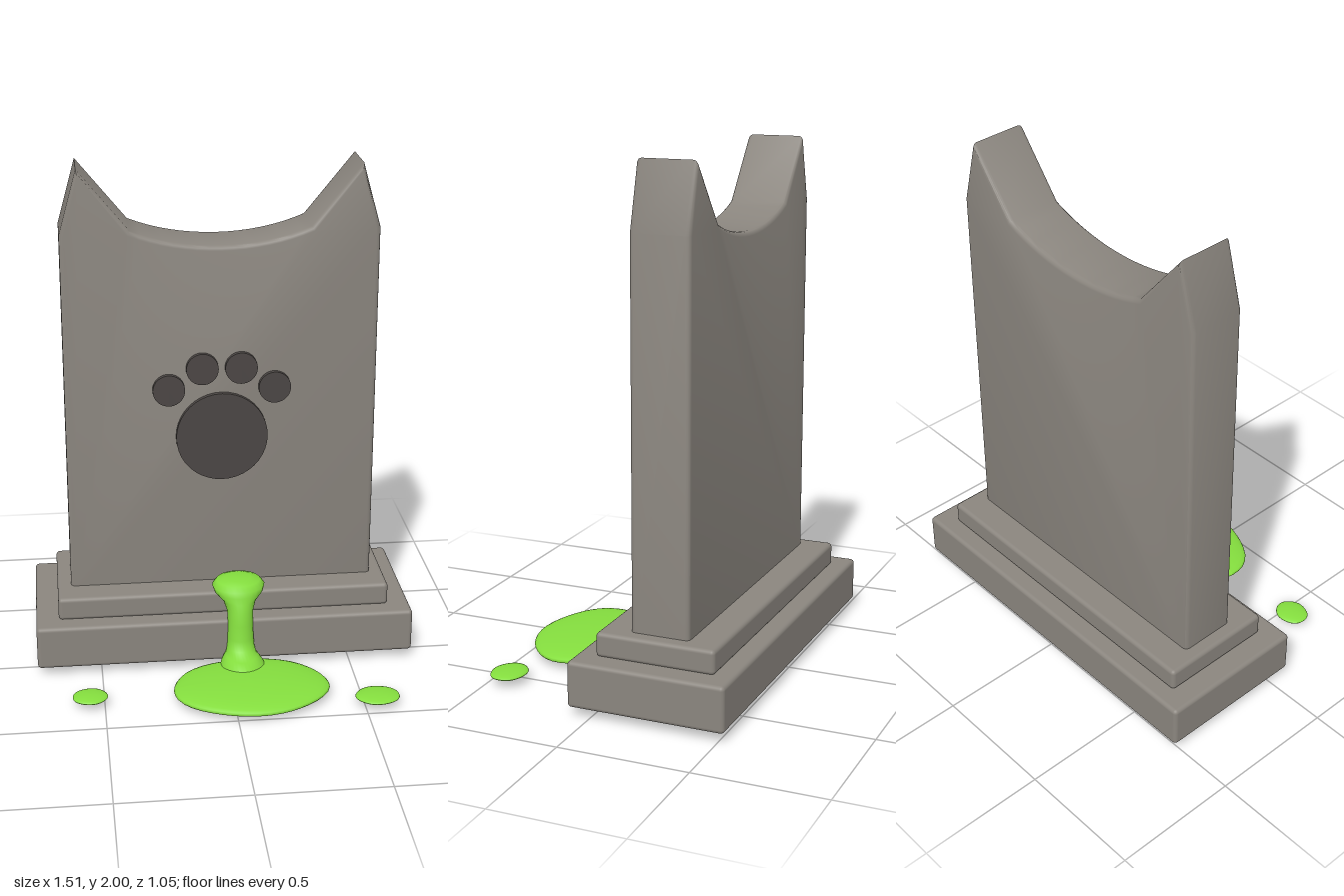
import * as THREE from 'three';
import { toCreasedNormals } from 'three/addons/utils/BufferGeometryUtils.js';
import { RoundedBoxGeometry } from 'three/addons/geometries/RoundedBoxGeometry.js';

const stone = new THREE.MeshStandardMaterial({ name: 'stone', color: 0x8a857e });
const darkStone = new THREE.MeshStandardMaterial({ name: 'darkStone', color: 0x4b4644 });
const slime = new THREE.MeshStandardMaterial({ name: 'slime', color: 0x84dd3e });

function add(group, name, geometry, material, x = 0, y = 0, z = 0) {
  const mesh = new THREE.Mesh(geometry, material);
  mesh.name = name;
  mesh.position.set(x, y, z);
  group.add(mesh);
  return mesh;
}

// Rounded block from its half width and its y and z limits
function block(group, name, halfW, y0, y1, z0, z1) {
  const geo = new RoundedBoxGeometry(halfW * 2, y1 - y0, z1 - z0, 3, 0.016);
  add(group, name, geo, stone, 0, (y0 + y1) / 2, (z0 + z1) / 2);
}

// Closed loft through horizontal ellipses [y, centreZ, radiusX, radiusZ], top first
function loft(rings, segments) {
  const pos = [], index = [];
  rings.forEach(([y, cz, rx, rz], i) => {
    for (let j = 0; j < segments; j++) {
      const t = (j / segments) * Math.PI * 2;
      pos.push(Math.cos(t) * rx, y, cz + Math.sin(t) * rz);
      if (i === rings.length - 1) continue;
      const k = (j + 1) % segments;
      const a = i * segments + j, b = i * segments + k;
      index.push(a, b, a + segments, b, b + segments, a + segments);
    }
  });
  const geo = new THREE.BufferGeometry();
  geo.setAttribute('position', new THREE.Float32BufferAttribute(pos, 3));
  geo.setIndex(index);
  geo.computeVertexNormals();
  return geo;
}

// Flattened drop with a slightly uneven rim
function puddle(group, name, x, y, z, rx, ry, rz) {
  const geo = new THREE.SphereGeometry(1, 40, 16);
  const p = geo.attributes.position;
  for (let i = 0; i < p.count; i++) {
    const a = Math.atan2(p.getZ(i), p.getX(i));
    const w = 1 + 0.012 * Math.sin(5 * a + x * 9) - 0.01;
    p.setXYZ(i, p.getX(i) * rx * w, p.getY(i) * ry, p.getZ(i) * rz * w);
  }
  geo.computeVertexNormals();
  add(group, name, geo, slime, x, y, z);
}

export function createModel() {
  const model = new THREE.Group();
  model.name = 'catGravestone';

  // Stepped plinth
  block(model, 'lowerBase', 0.755, 0.035, 0.212, -0.525, 0.085);
  block(model, 'upperBase', 0.665, 0.208, 0.302, -0.453, 0.011);

  // Slab with two ear points and a dipped top
  const outline = new THREE.Shape();
  outline.moveTo(-0.61, 0.28);
  outline.lineTo(0.61, 0.28);
  outline.lineTo(0.61, 1.75);
  outline.lineTo(0.54, 2.0);
  outline.lineTo(0.345, 1.762);
  outline.bezierCurveTo(0.14, 1.675, -0.14, 1.675, -0.345, 1.762);
  outline.lineTo(-0.54, 2.0);
  outline.lineTo(-0.61, 1.75);
  outline.closePath();
  const bevel = 0.018;
  const slab = new THREE.ExtrudeGeometry(outline, {
    depth: 0.23 - 2 * bevel, curveSegments: 16, bevelEnabled: true,
    bevelSize: bevel, bevelThickness: bevel, bevelOffset: -bevel, bevelSegments: 3,
  });
  add(model, 'slab', toCreasedNormals(slab, 0.6), stone, 0, 0, -0.335 + bevel);

  // Paw print: main pad and four toes
  const paw = new THREE.Group();
  paw.name = 'pawPrint';
  model.add(paw);
  const pad = (name, x, y, r) => {
    const geo = new THREE.CylinderGeometry(r, r, 0.03, 40).rotateX(Math.PI / 2);
    add(paw, name, geo, darkStone, x, y, -0.1);
  };
  pad('mainPad', 0, 0.932, 0.18);
  for (const s of [-1, 1]) {
    pad('outerToe', s * 0.207, 1.13, 0.063);
    pad('innerToe', s * 0.076, 1.213, 0.063);
  }

  // Slime running from the step down to the ground
  const drip = loft([
    [0.361, 0.0, 0.001, 0.001],
    [0.36, 0.0, 0.05, 0.045],
    [0.352, 0.0, 0.088, 0.075],
    [0.332, 0.003, 0.105, 0.09],
    [0.31, 0.014, 0.096, 0.085],
    [0.285, 0.04, 0.066, 0.068],
    [0.25, 0.068, 0.052, 0.053],
    [0.2, 0.08, 0.05, 0.05],
    [0.14, 0.087, 0.052, 0.052],
    [0.1, 0.095, 0.055, 0.058],
    [0.078, 0.115, 0.062, 0.085],
    [0.06, 0.16, 0.085, 0.12],
    [0.03, 0.15, 0.09, 0.1],
    [0.01, 0.13, 0.06, 0.06],
    [0.004, 0.13, 0.001, 0.001],
  ], 28);
  add(model, 'slimeDrip', drip, slime, 0.055);
  puddle(model, 'slimePuddle', 0.072, 0.034, 0.308, 0.308, 0.034, 0.217);
  puddle(model, 'slimeDropRight', -0.556, 0.037, 0.322, 0.069, 0.013, 0.06);
  puddle(model, 'slimeDropLeft', 0.549, 0.037, 0.431, 0.087, 0.014, 0.069);

  return model;
}
